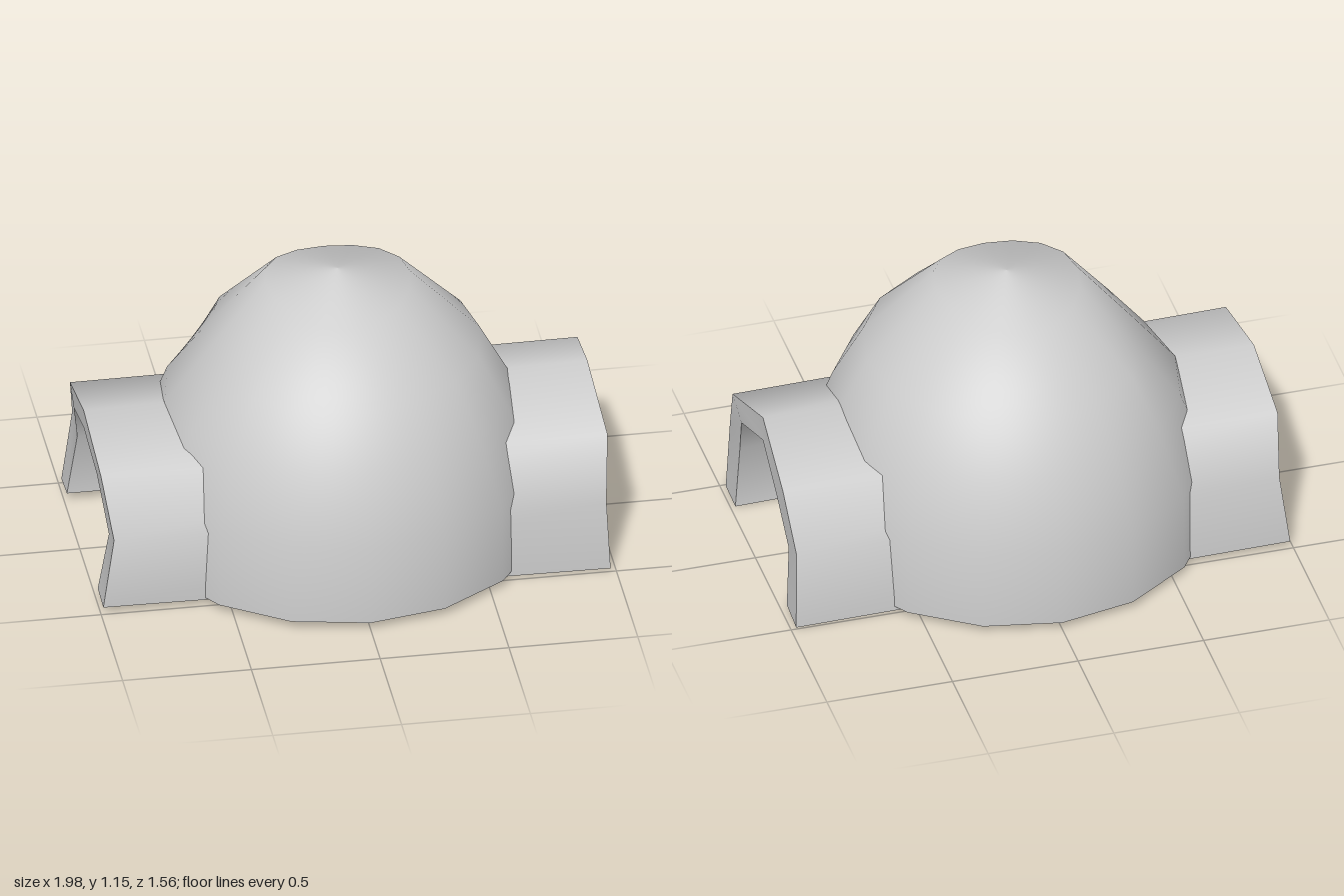
import * as THREE from 'three';
import { toCreasedNormals } from 'three/addons/utils/BufferGeometryUtils.js';

const SIDES = 16, BASE = 0.035, STEPS = 6;
const material = new THREE.MeshStandardMaterial({ color: 0xcccccc, side: THREE.DoubleSide });

// Tunnel sections as [x, y, z], outer arch from +z to -z, then inner arch from +z to -z.
const rightEnd = { // at -x
  outer: [[-0.99, 0.03, 0.49], [-0.95, 0.33, 0.5], [-0.98, 0.545, 0.375], [-0.985, 0.62, 0], [-0.98, 0.54, -0.35], [-0.95, 0.33, -0.48], [-0.99, 0.03, -0.49]],
  inner: [[-0.99, 0.04, 0.36], [-0.95, 0.29, 0.38], [-0.98, 0.5, 0.28], [-0.985, 0.545, 0], [-0.98, 0.48, -0.26], [-0.95, 0.29, -0.36], [-0.99, 0.04, -0.36]],
};
const leftEnd = { // at +x
  outer: [[0.98, 0.01, 0.485], [0.965, 0.3, 0.48], [0.99, 0.53, 0.355], [0.97, 0.655, 0], [0.99, 0.55, -0.35], [0.97, 0.33, -0.47], [0.98, 0.012, -0.5]],
  inner: [[0.98, 0.005, 0.35], [0.965, 0.28, 0.34], [0.99, 0.48, 0.23], [0.97, 0.55, 0], [0.99, 0.475, -0.26], [0.97, 0.29, -0.36], [0.98, 0.03, -0.37]],
};

// Arched tunnel wall lofted between its two end sections
function tunnelGeometry() {
  const pos = [];
  const quad = (a, b, c, d) => pos.push(...a, ...b, ...c, ...a, ...c, ...d);
  const ringA = [...rightEnd.outer, ...rightEnd.inner.slice().reverse()];
  const ringB = [...leftEnd.outer, ...leftEnd.inner.slice().reverse()];
  const n = ringA.length;
  for (let i = 0; i < n; i++) {
    const j = (i + 1) % n;
    quad(ringA[i], ringB[i], ringB[j], ringA[j]);
  }
  for (let i = 0; i < n / 2 - 1; i++) {
    const { outer: o, inner: k } = leftEnd, { outer: p, inner: q } = rightEnd;
    quad(o[i], k[i], k[i + 1], o[i + 1]);
    quad(p[i], p[i + 1], q[i + 1], q[i]);
  }
  const geo = new THREE.BufferGeometry();
  geo.setAttribute('position', new THREE.Float32BufferAttribute(pos, 3));
  return toCreasedNormals(geo, 0.9);
}

// True inside the passage, measured to the middle of the tunnel wall
function inPassage(p) {
  const t = THREE.MathUtils.clamp((p.x + 0.98) / 1.96, 0, 1);
  const mid = rightEnd.outer.map((_, i) => [1, 2].map((k) => THREE.MathUtils.lerp(
    (rightEnd.outer[i][k] + rightEnd.inner[i][k]) / 2,
    (leftEnd.outer[i][k] + leftEnd.inner[i][k]) / 2, t)));
  for (let i = 0; i < mid.length - 1; i++) {
    const [y0, z0] = mid[i], [y1, z1] = mid[i + 1];
    if ((z1 - z0) * (p.y - y0) - (y1 - y0) * (p.z - z0) < 0) return false;
  }
  return true;
}

// Faceted dome with smooth shading, opened where the passage runs through
function domeGeometry() {
  const profile = [[0.78, BASE], [0.775, 0.36], [0.67, 0.63], [0.555, 0.84], [0.32, 1.07], [0, 1.16]]
    .map(([r, y]) => new THREE.Vector2(r, y));
  const coarse = new THREE.LatheGeometry(profile, SIDES);
  const P = coarse.attributes.position, N = coarse.attributes.normal, rows = profile.length;
  // Uneven crown: raised shoulders along x, flatter on the -x side
  for (let i = 0; i < P.count; i++) {
    const x = P.getX(i), row = i % rows;
    if (row === 4) {
      P.setY(i, 1.07 + 0.05 * (x / 0.32) ** 2);
      P.setX(i, x * 0.88);
    }
    if (row === 3 && x < -0.4) P.setX(i, x + 0.05);
  }
  const at = (attr, i, j, u, v) => {
    const g = (a, b) => new THREE.Vector3().fromBufferAttribute(attr, a * rows + b);
    return g(i, j).lerp(g(i + 1, j), u).lerp(g(i, j + 1).lerp(g(i + 1, j + 1), u), v);
  };
  const pos = [], nor = [];
  const tri = (i, j, corners) => {
    const pts = corners.map(([u, v]) => at(P, i, j, u / STEPS, v / STEPS));
    const centre = pts[0].clone().add(pts[1]).add(pts[2]).divideScalar(3);
    if (inPassage(centre)) return;
    pts.forEach((p, k) => {
      pos.push(p.x, p.y, p.z);
      const m = at(N, i, j, corners[k][0] / STEPS, corners[k][1] / STEPS).normalize();
      nor.push(m.x, m.y, m.z);
    });
  };
  for (let i = 0; i < SIDES; i++)
    for (let j = 0; j < rows - 1; j++)
      for (let u = 0; u < STEPS; u++)
        for (let v = 0; v < STEPS; v++) {
          tri(i, j, [[u, v], [u + 1, v], [u + 1, v + 1]]);
          tri(i, j, [[u, v], [u + 1, v + 1], [u, v + 1]]);
        }
  const geo = new THREE.BufferGeometry();
  geo.setAttribute('position', new THREE.Float32BufferAttribute(pos, 3));
  geo.setAttribute('normal', new THREE.Float32BufferAttribute(nor, 3));
  return geo;
}

export function createModel() {
  const group = new THREE.Group();
  const add = (name, geometry) => {
    const mesh = new THREE.Mesh(geometry, material);
    mesh.name = name;
    group.add(mesh);
    return mesh;
  };

  add('dome', domeGeometry());
  add('tunnel', tunnelGeometry());

  // Flat underside of the dome on each side of the tunnel
  const edge = [[0.62, 0.45]];
  for (let i = 2; i >= -2; i--) {
    const a = (i * 2 * Math.PI) / SIDES;
    edge.push([0.78 * Math.sin(a), 0.78 * Math.cos(a)]);
  }
  edge.push([-0.62, 0.45]);
  const shape = new THREE.Shape(edge.map(([x, z]) => new THREE.Vector2(x, z)));
  const floor = new THREE.ShapeGeometry(shape).rotateX(Math.PI / 2).translate(0, BASE, 0);
  add('frontBase', floor);
  add('backBase', floor).rotation.y = Math.PI;

  return group;
}
